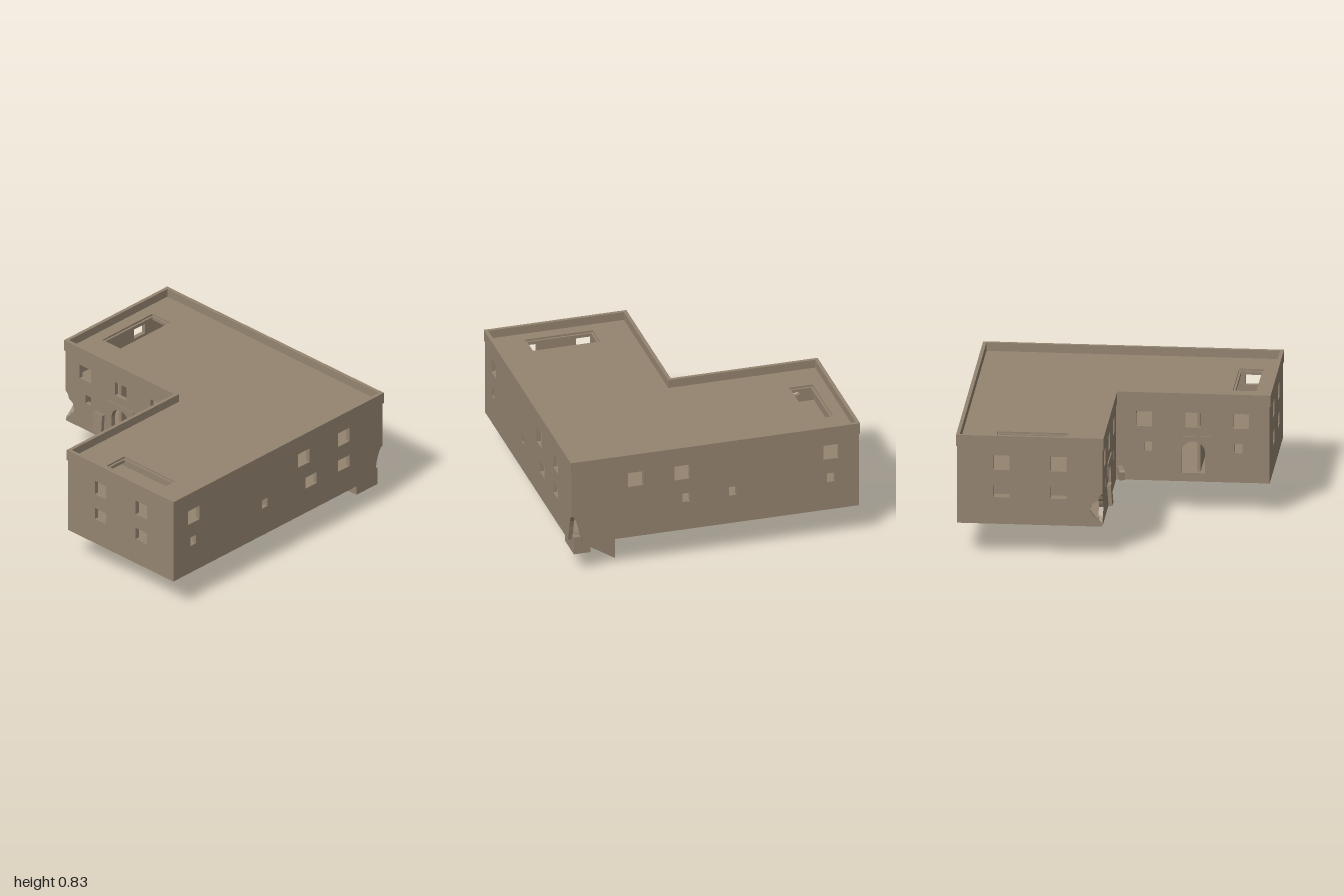
import * as THREE from 'three';

const T = 0.03; // wall thickness
const BASE = 0.222, WALL_TOP = 0.762;

export function createModel() {
  const model = new THREE.Group();
  const clay = new THREE.MeshStandardMaterial({ color: 0x958571 });
  clay.name = 'sandy clay';

  const add = (geo, name) => {
    const m = new THREE.Mesh(geo, clay);
    m.name = name;
    model.add(m);
    return m;
  };
  const poly = pts => new THREE.Shape(pts.map(p => new THREE.Vector2(p[0], p[1])));
  const rect = (x0, x1, y0, y1) => [[x0, y0], [x1, y0], [x1, y1], [x0, y1]];
  const extrude = (shape, depth) =>
    new THREE.ExtrudeGeometry(shape, { depth, bevelEnabled: false, curveSegments: 8 });

  // Upright slab: along x it starts at z = pos, along z it ends at x = pos
  const upright = (shape, depth, axis, pos, name) => {
    const geo = extrude(shape, depth);
    if (axis === 'x') geo.translate(0, 0, pos);
    else geo.rotateY(-Math.PI / 2).translate(pos, 0, 0);
    return add(geo, name);
  };

  // Horizontal slab between two heights; plan points are (x, z)
  const slab = (pts, holes, y0, y1, name) => {
    const flip = a => a.map(([x, z]) => [x, -z]).reverse();
    const s = poly(flip(pts));
    holes.forEach(h => s.holes.push(poly(flip(h))));
    return add(extrude(s, y1 - y0).rotateX(-Math.PI / 2).translate(0, y0, 0), name);
  };
  const plan = i => [[-1 + i, -1 + i], [1 - i, -1 + i], [1 - i, 1 - i],
    [0.015 + i, 1 - i], [0.015 + i, -0.02 - i], [-1 + i, -0.02 - i]];

  // Wall ends as (inset, height) from the bottom up
  const straight = [[0, BASE]];
  const hole = [[0, BASE], [0.008, 0.25], [0.05, 0.285], [0.085, 0.33], [0.07, 0.36], [0.065, 0.38],
    [0.03, 0.4], [0.02, 0.43], [0, 0.45]];
  const torn = [[0.08, BASE], [0.06, 0.3], [0.055, 0.33], [0.04, 0.38], [0.015, 0.425], [0, 0.43]];

  // Window openings by kind and centre
  const kinds = { upper: [0.053, 0.597, 0.7], lower: [0.053, 0.407, 0.491], small: [0.026, 0.427, 0.491] };
  const windows = list => Object.entries(list).flatMap(([k, cs]) => cs.map(c => {
    const [h, y0, y1] = kinds[k];
    return rect(c - h, c + h, y0, y1);
  }));
  const archPath = (c, r) => {
    const p = new THREE.Path();
    p.moveTo(c - r, 0.282);
    p.lineTo(c + r, 0.282);
    p.lineTo(c + r, 0.422);
    p.absarc(c, 0.422, r, 0, Math.PI, false);
    p.lineTo(c - r, 0.282);
    return p;
  };

  const wall = (name, axis, pos, a, b, endA, endB, list, door) => {
    const s = poly([
      ...[...endA].reverse().map(([d, y]) => [a + d, y]),
      ...endB.map(([d, y]) => [b - d, y]),
      [b, WALL_TOP], [a, WALL_TOP]]);
    windows(list).forEach(h => s.holes.push(poly(h)));
    if (door !== undefined) s.holes.push(archPath(door, 0.08));
    upright(s, T, axis, pos, name);
  };

  const E = 0.993;
  wall('backWall', 'x', -E, -E, E, straight, torn,
    { upper: [0.55, 0.23, -0.8], small: [0.2, -0.12, -0.8] });
  wall('leftWall', 'z', E, -E, E, torn, straight,
    { upper: [0.8, -0.245, -0.625], lower: [-0.315, -0.625], small: [0.805, 0.125] });
  wall('frontEndWall', 'x', E - T, 0.022, E, straight, straight,
    { upper: [0.32, 0.698], lower: [0.32, 0.698] });
  wall('rightEndWall', 'z', -E + T, -E, -0.028, straight, hole,
    { upper: [-0.32, -0.698], lower: [-0.32, -0.698] });
  wall('courtWallFront', 'x', -0.058, -E, 0.052, hole, straight,
    { upper: [-0.812, -0.485, -0.157], small: [-0.785, -0.185] }, -0.485);
  wall('courtWallSide', 'z', 0.022 + T, -0.058, E, straight, straight,
    { upper: [0.802, 0.485, 0.157], small: [0.785, 0.185] }, 0.485);

  // Arched door surrounds with a cornice, kept within the parapet overhang
  for (const [axis, pos, c] of [['x', -0.028, -0.485], ['z', 0.022, 0.485]]) {
    const half = [[0.098, 0.278], [0.098, 0.432], [0.115, 0.442], [0.115, 0.517], [0.125, 0.527], [0.125, 0.537]];
    const s = poly([...half.map(([d, y]) => [c + d, y]),
      ...[...half].reverse().map(([d, y]) => [c - d, y])]);
    s.holes.push(archPath(c, 0.08));
    upright(s, 0.005, axis, pos, 'doorSurround');
    upright(poly(rect(c - 0.125, c + 0.125, 0.527, 0.537)), 0.007, axis, pos, 'doorCornice');
  }

  // Parapet, roof with two skylights, and storeys inside
  slab(plan(0), [plan(0.024)], 0.757, 0.836, 'parapet');
  const sky = g => [
    rect(-0.89 + g, -0.725 - g, -0.747 + g, -0.272 - g),
    rect(0.28 + g, 0.75 - g, 0.725 + g, 0.892 - g)];
  slab(plan(0.015), sky(0), 0.765, 0.778, 'roof');
  slab(plan(0.03), sky(0.014), 0.742, 0.765, 'skylightLedge');
  slab(plan(0.03), [], 0.532, 0.547, 'upperFloor');
  // The stairwell corner is cut out of the ground floor
  slab([[-0.97, -0.97], [0.9, -0.97], [0.97, -0.9], ...plan(0.03).slice(2)], [], 0.262, 0.278, 'groundFloor');

  // Cross walls inside, showing as ribs under the floor
  for (const p of [-0.52, -0.06]) {
    add(new THREE.BoxGeometry(0.02, 0.486, 0.9).translate(p, 0.499, -0.51), 'crossWall');
    add(new THREE.BoxGeometry(0.9, 0.486, 0.02).translate(0.51, 0.499, -p), 'crossWall');
  }
  for (const c of [-0.7, -0.25, 0.2]) {
    add(new THREE.BoxGeometry(0.3, 0.016, 0.015).translate(c, 0.258, -0.5), 'floorRib');
    add(new THREE.BoxGeometry(0.015, 0.016, 0.3).translate(0.5, 0.258, -c), 'floorRib');
  }

  // Cellar stair: stepped underside between straight-edged side plates, and its landing
  const top = [[0.865, 0.262], [0.715, 0.262], [0.65, 0.18], [0.65, 0.005]];
  const steps = [...top];
  const n = 14;
  for (let i = 0; i < n; i++) {
    const y = 0.005 + (i + 1) * 0.135 / n;
    steps.push([0.65 + i * 0.215 / n, y], [0.65 + (i + 1) * 0.215 / n, y]);
  }
  upright(poly(steps), 0.063, 'x', -0.849, 'cellarStair');
  for (const z of [-0.855, -0.786])
    upright(poly([...top, [0.865, 0.14]]), 0.006, 'x', z, 'stairSide');
  add(new THREE.BoxGeometry(0.115, 0.125, 0.2).translate(0.9125, 0.2, -0.87), 'stairLanding');

  // Loose slabs by the court wall
  const panel = add(new THREE.BoxGeometry(0.078, 0.14, 0.025), 'leaningSlab');
  panel.position.set(-0.667, 0.344, -0.005);
  panel.rotation.x = -0.08;
  const block = add(extrude(poly([[-0.067, -0.034], [0.073, -0.034], [0.07, 0.025], [-0.055, 0.033], [-0.073, 0.022]]), 0.036)
    .translate(0, 0, -0.018), 'fallenSlab');
  block.position.set(-0.095, 0.31, 0.015);
  block.rotation.y = 0.2;

  return model;
}
